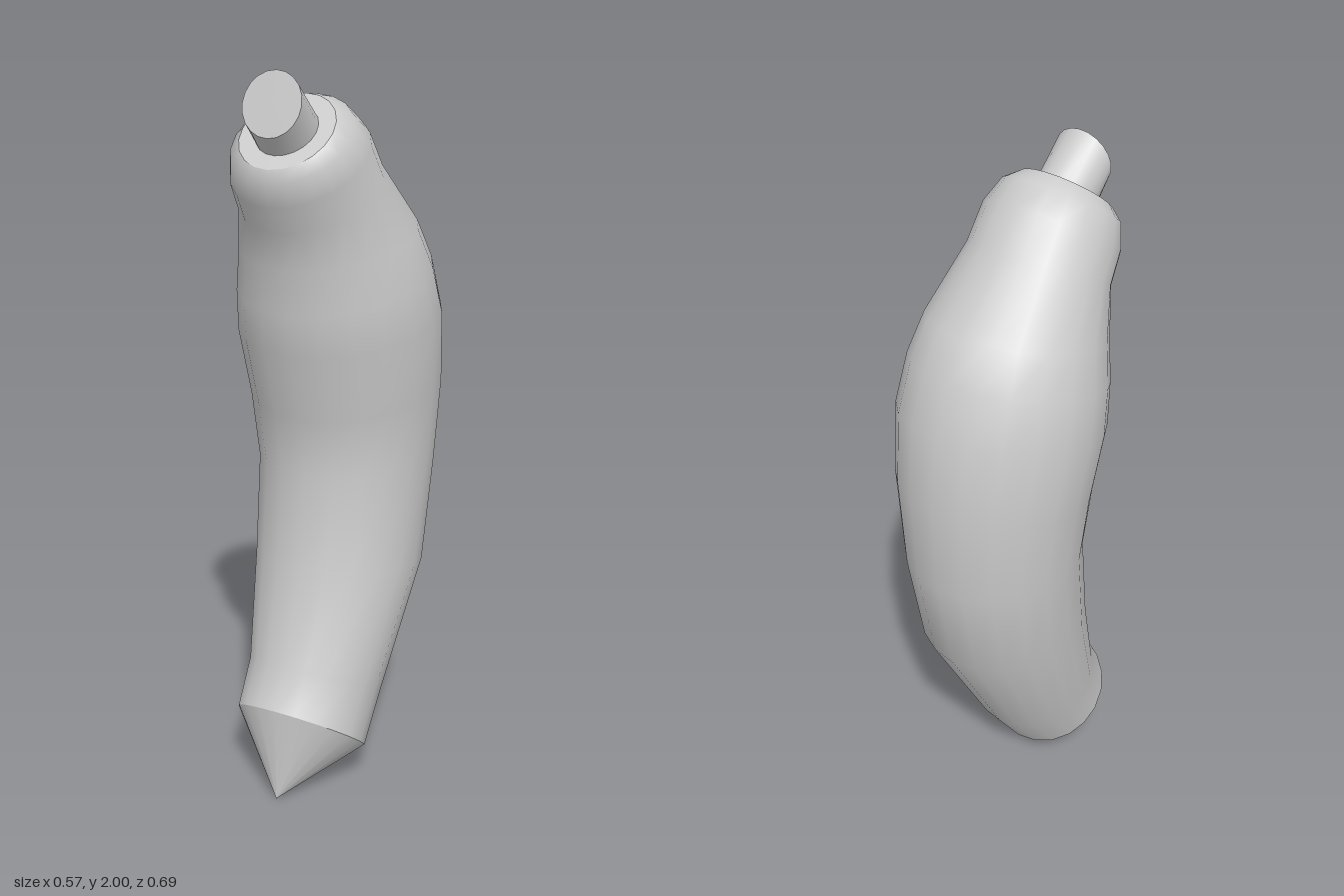
import * as THREE from 'three';

const SIDES = 20;
const material = new THREE.MeshStandardMaterial({ color: 0xcccccc });

// Lofts circular rings, each given by its front and back points: [frontZ, frontY, backZ, backY]
function loft(name, rings) {
  const positions = [], index = [];
  for (const [fz, fy, bz, by] of rings) {
    const cz = (fz + bz) / 2, cy = (fy + by) / 2;
    const uz = (fz - bz) / 2, uy = (fy - by) / 2;
    const radius = Math.hypot(uz, uy);
    for (let j = 0; j < SIDES; j++) {
      const a = (j / SIDES) * Math.PI * 2;
      positions.push(Math.sin(a) * radius, cy + Math.cos(a) * uy, cz + Math.cos(a) * uz);
    }
  }
  for (let i = 0; i < rings.length - 1; i++) {
    for (let j = 0; j < SIDES; j++) {
      const k = (j + 1) % SIDES;
      const a = i * SIDES + j, b = i * SIDES + k;
      index.push(a, b, b + SIDES, a, b + SIDES, a + SIDES);
    }
  }
  const geometry = new THREE.BufferGeometry();
  geometry.setAttribute('position', new THREE.Float32BufferAttribute(positions, 3));
  geometry.setIndex(index);
  geometry.computeVertexNormals();
  const mesh = new THREE.Mesh(geometry, material);
  mesh.name = name;
  return mesh;
}

// Flat disc closing the upper side of a ring
function cap(name, ring) {
  const z = (ring[0] + ring[2]) / 2, y = (ring[1] + ring[3]) / 2;
  return loft(name, [ring, [z, y, z, y]]);
}

export function createModel() {
  const group = new THREE.Group();
  group.name = 'curvedVegetable';

  // Curved body, from the lower end to the shoulder
  const body = [
    [0.34, 0.28, 0.04, 0.045],
    [0.275, 0.39, -0.06, 0.19],
    [0.2, 0.65, -0.28, 0.6],
    [0.165, 0.92, -0.335, 0.9],
    [0.185, 1.08, -0.345, 1.18],
    [0.235, 1.27, -0.32, 1.38],
    [0.25, 1.38, -0.27, 1.52],
    [0.26, 1.5, -0.21, 1.62],
    [0.29, 1.6, -0.05, 1.79],
    [0.33, 1.67, 0.02, 1.885],
    [0.345, 1.73, 0.085, 1.93],
    [0.335, 1.765, 0.14, 1.935],
  ];
  group.add(loft('body', body));
  group.add(cap('shoulderDisc', body[body.length - 1]));

  // Pointed lower end
  group.add(loft('tip', [[0.335, 0, 0.335, 0], body[0]]));

  // Short stem with a slanted cut
  const stemEnd = [0.335, 1.84, 0.285, 2];
  group.add(loft('stem', [[0.3, 1.795, 0.175, 1.905], stemEnd]));
  group.add(cap('stemCut', stemEnd));

  return group;
}
